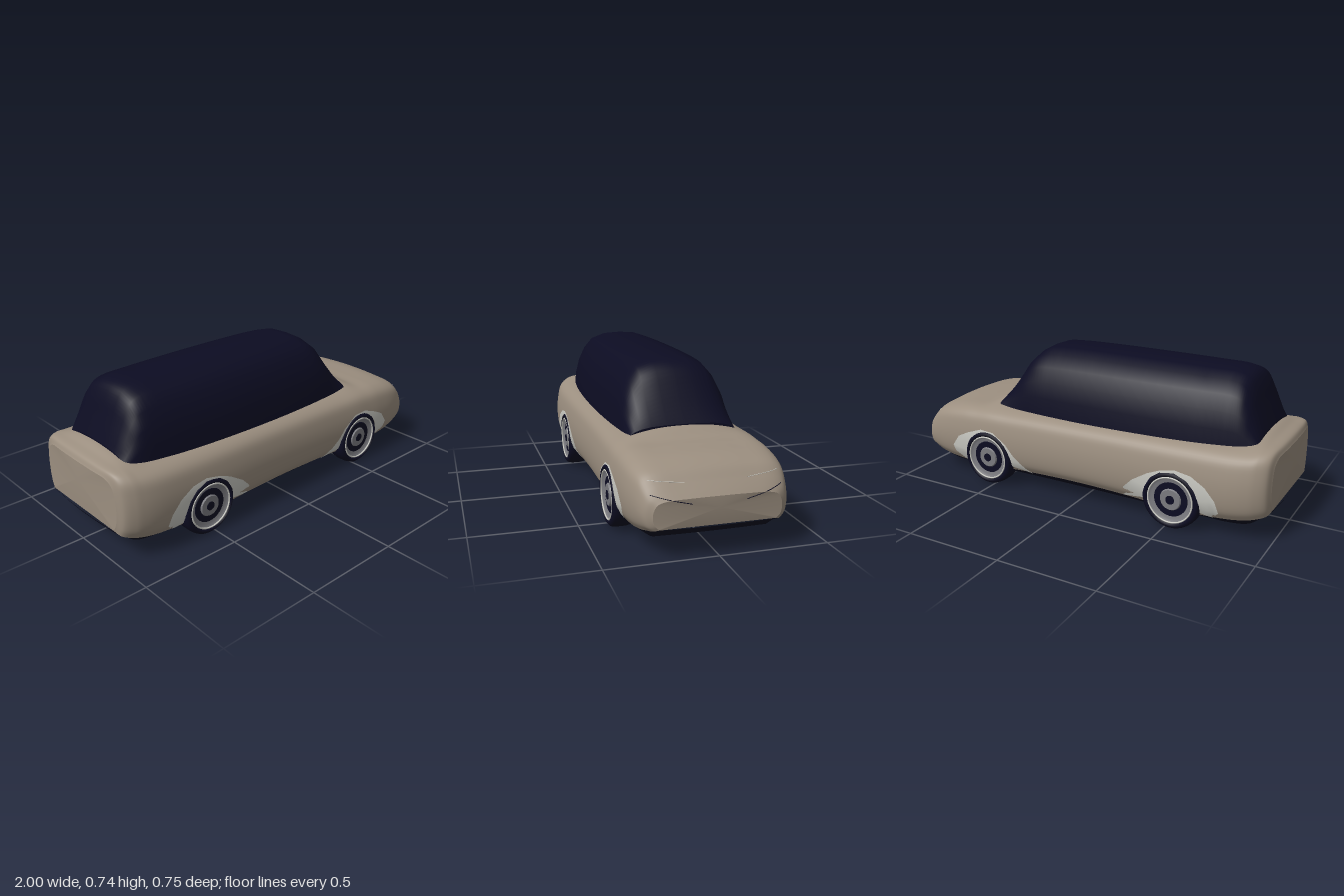
import * as THREE from 'three';

const mat = (name, color, side = THREE.FrontSide) => {
  const m = new THREE.MeshStandardMaterial({ color, side });
  m.name = name;
  return m;
};

const WHEEL_X = 0.53, WHEEL_Y = 0.148, WHEEL_R = 0.148;

// Smooth skin through cross-section rings; each ring is an array of Vector3.
function loft(rings, steps, cut = () => false, caps = true) {
  const cols = rings[0].map((_, j) =>
    new THREE.CatmullRomCurve3(rings.map(r => r[j])).getPoints((rings.length - 1) * steps));
  const n = cols.length, m = cols[0].length, pos = [], idx = [];
  for (let i = 0; i < m; i++) for (let j = 0; j < n; j++) pos.push(...cols[j][i].toArray());
  const tri = (a, b, c) => {
    const p = k => (pos[a * 3 + k] + pos[b * 3 + k] + pos[c * 3 + k]) / 3;
    if (!cut(p(0), p(1), p(2))) idx.push(a, b, c);
  };
  for (let i = 0; i < m - 1; i++) for (let j = 0; j < n - 1; j++) {
    const a = i * n + j, b = a + n;
    tri(a, b, a + 1);
    tri(b, b + 1, a + 1);
  }
  // End caps use their own vertices so the rim stays crisp
  if (caps) for (const i of [0, m - 1]) {
    const base = pos.length / 3, ring = cols.map(c => c[i]);
    const mid = ring.reduce((s, p) => s.add(p), new THREE.Vector3()).divideScalar(n);
    mid.x = ring[(n - 1) / 2].x;
    ring.forEach(p => pos.push(...p.toArray()));
    pos.push(...mid.toArray());
    for (let j = 0; j < n; j++) {
      const k = base + (j + 1) % n;
      if (i) idx.push(base + n, k, base + j);
      else idx.push(base + n, base + j, k);
    }
  }
  const g = new THREE.BufferGeometry();
  g.setAttribute('position', new THREE.Float32BufferAttribute(pos, 3));
  g.setIndex(idx);
  g.computeVertexNormals();
  return g;
}

// Half section [z, y], from +z edge to the centre line, mirrored and smoothed
function section(x, half, count, bend = 0) {
  const pts = [...half, ...half.slice(0, -1).reverse().map(([z, y]) => [-z, y])]
    .map(([z, y]) => new THREE.Vector3(x, y, z));
  const ring = count ? new THREE.CatmullRomCurve3(pts).getPoints(count) : pts;
  ring.forEach(p => { p.x -= bend * (p.z / 0.37) ** 2; });
  return ring;
}

// x, bottom edge, shoulder, crown, half width
const BODY = [
  [-1, .155, .40, .41, .28], [-.985, .135, .425, .437, .318], [-.94, .12, .43, .452, .345],
  [-.89, .11, .425, .468, .358], [-.8, .10, .42, .45, .368], [-.6, .09, .415, .43, .37],
  [-.45, .092, .412, .43, .369], [-.3, .10, .41, .43, .367], [0, .105, .405, .43, .363],
  [.3, .10, .402, .43, .365], [.42, .095, .40, .435, .367], [.53, .093, .40, .446, .369],
  [.61, .092, .395, .412, .368], [.7, .092, .39, .404, .366], [.82, .10, .372, .392, .357],
  [.9, .11, .348, .362, .343], [.95, .12, .308, .316, .328], [.98, .125, .277, .286, .312],
  [1, .135, .255, .264, .285],
];
const bendAt = x => Math.sign(x) * 0.03 * Math.max(0, (Math.abs(x) - .8) / .2);

const bodyRing = ([x, yb, sh, top, w]) => {
  const h = sh - yb;
  return section(x, [[.9 * w, yb], [.965 * w, yb + .13 * h], [w, yb + .38 * h], [.985 * w, yb + .68 * h],
    [.93 * w, yb + .89 * h], [.8 * w, sh], [.45 * w, sh + .75 * (top - sh)], [0, top]], 64, bendAt(x));
};
const underRing = ([x, yb, , , w]) => {
  const y = THREE.MathUtils.lerp(.057, yb, THREE.MathUtils.smoothstep(Math.abs(x), .84, 1));
  return section(x, [[.9 * w, yb], [.74 * w, y], [.4 * w, y], [0, y]], 0, bendAt(x)).reverse();
};

// x, roof height, half width at the base
const CABIN = [
  [-.89, .475, .24], [-.85, .585, .25], [-.82, .665, .256], [-.79, .71, .261], [-.74, .731, .267],
  [-.6, .735, .279], [-.3, .736, .289], [0, .735, .286], [.2, .73, .28], [.3, .718, .275],
  [.36, .68, .271], [.42, .595, .267], [.47, .52, .263], [.52, .452, .259],
];
const CABIN_HALF = [[1, 0], [.965, .28], [.895, .52], [.77, .74], [.6, .905], [.32, .985], [0, 1]];

// Outlines of the pale arch panels, in front-to-rear order
const REAR_ARCH = [[-.255, .10], [-.28, .16], [-.33, .21], [-.41, .26], [-.47, .285], [-.55, .302],
  [-.63, .29], [-.70, .25], [-.75, .19], [-.765, .13], [-.73, .09]];
const FRONT_ARCH = [[.70, .095], [.755, .14], [.765, .175], [.72, .235], [.66, .265], [.57, .297],
  [.49, .292], [.41, .24], [.37, .19], [.33, .15], [.30, .12], [.265, .095]];

export function createModel() {
  const car = new THREE.Group();
  car.name = 'car';
  const paint = mat('taupe paint', 0x9c8f80);
  const dark = mat('midnight glass and rubber', 0x0c0c22);
  const pale = mat('pale trim', 0xcbcbc4, THREE.DoubleSide);
  const metal = mat('grey metal', 0x7b7b80);
  const add = (name, geo, m, parent = car) => {
    const mesh = new THREE.Mesh(geo, m);
    mesh.name = name;
    parent.add(mesh);
    return mesh;
  };

  // Shell with round wheel openings
  const inWheel = (x, y, z) => Math.abs(z) > .25 && Math.hypot(Math.abs(x) - WHEEL_X, y - WHEEL_Y) < .132;
  const solid = new THREE.Mesh(loft(BODY.map(bodyRing), 6), paint);
  add('body', loft(BODY.map(bodyRing), 12, inWheel), paint);
  add('underbody', loft(BODY.map(underRing), 4, undefined, false), dark);
  add('cabin', loft(CABIN.map(([x, top, w]) =>
    section(x, CABIN_HALF.map(([z, y]) => [z * w, .405 + y * (top - .405)]))), 4), dark);

  // Projects a point onto the shell
  const ray = new THREE.Raycaster();
  const project = (origin, dir, fallback) => {
    ray.set(origin, dir);
    const hit = ray.intersectObject(solid)[0];
    return hit ? hit.point : fallback;
  };

  // Arch panels that hug the body side
  const archPanel = (outline, cx, s) => {
    const pos = [], idx = [], n = 5;
    outline.forEach(([x, y], i) => {
      const d = Math.hypot(x - cx, y - WHEEL_Y);
      for (let k = 0; k < n; k++) {
        const f = THREE.MathUtils.lerp(Math.min(.14 / d, 1), 1, k / (n - 1));
        const px = cx + (x - cx) * f, py = WHEEL_Y + (y - WHEEL_Y) * f;
        const p = project(new THREE.Vector3(px, py, 1), new THREE.Vector3(0, 0, -1), { z: .325 });
        pos.push(px, py, s * (p.z + .003));
        if (i && k) {
          const a = (i - 1) * n + k, b = i * n + k;
          if (s > 0) idx.push(a - 1, a, b, a - 1, b, b - 1);
          else idx.push(a - 1, b, a, a - 1, b - 1, b);
        }
      }
    });
    const g = new THREE.BufferGeometry();
    g.setAttribute('position', new THREE.Float32BufferAttribute(pos, 3));
    g.setIndex(idx);
    g.computeVertexNormals();
    return g;
  };

  // Wheels: tyre, rim lip, dish, dark ring and hub
  const tyre = new THREE.LatheGeometry([[0, -.052], [.128, -.052], [.144, -.042], [.148, -.02], [.148, .02],
    [.144, .042], [.132, .053], [.119, .053], [.115, .03], [0, .03]].map(p => new THREE.Vector2(...p)), 40);
  const dish = new THREE.LatheGeometry([[.115, .047], [.1, .036], [.05, .033], [0, .033]]
    .map(p => new THREE.Vector2(...p)), 40);
  const lip = new THREE.TorusGeometry(.113, .004, 8, 40).rotateX(Math.PI / 2).translate(0, .05, 0);
  const ring = new THREE.CylinderGeometry(.085, .085, .004, 32).translate(0, .037, 0);
  const hub = new THREE.CylinderGeometry(.05, .058, .012, 24).translate(0, .04, 0);
  const cap = new THREE.CylinderGeometry(.022, .022, .004, 16).translate(0, .047, 0);
  for (const s of [1, -1]) {
    const side = s > 0 ? 'Left' : 'Right';
    for (const [end, cx, outline] of [['front', WHEEL_X, FRONT_ARCH], ['rear', -WHEEL_X, REAR_ARCH]]) {
      const wheel = new THREE.Group();
      wheel.name = `${end}${side}Wheel`;
      wheel.position.set(cx, WHEEL_R, s * .322);
      wheel.rotation.x = s * Math.PI / 2;
      car.add(wheel);
      add('tyre', tyre, dark, wheel);
      add('rimDish', dish, metal, wheel);
      add('rimLip', lip, pale, wheel);
      add('rimRing', ring, dark, wheel);
      add('hub', hub, metal, wheel);
      add('hubCap', cap, dark, wheel);
      add(`${end}${side}Arch`, archPanel(outline, cx, s), pale);
    }

    // Fine lines across the nose
    const noseLine = (name, y0, z0, y1, z1, r, m) => {
      const pts = [0, .2, .4, .6, .8, 1].map(t => {
        const y = THREE.MathUtils.lerp(y0, y1, t), z = s * THREE.MathUtils.lerp(z0, z1, t);
        return project(new THREE.Vector3(2, y, z), new THREE.Vector3(-1, 0, 0), new THREE.Vector3(.95, y, z));
      });
      add(name + side, new THREE.TubeGeometry(new THREE.CatmullRomCurve3(pts), 16, r, 6), m);
    };
    noseLine('noseSeam', .278, .29, .237, .12, .0018, dark);
    noseLine('lampStrip', .328, .29, .316, .14, .0015, pale);
  }
  return car;
}
